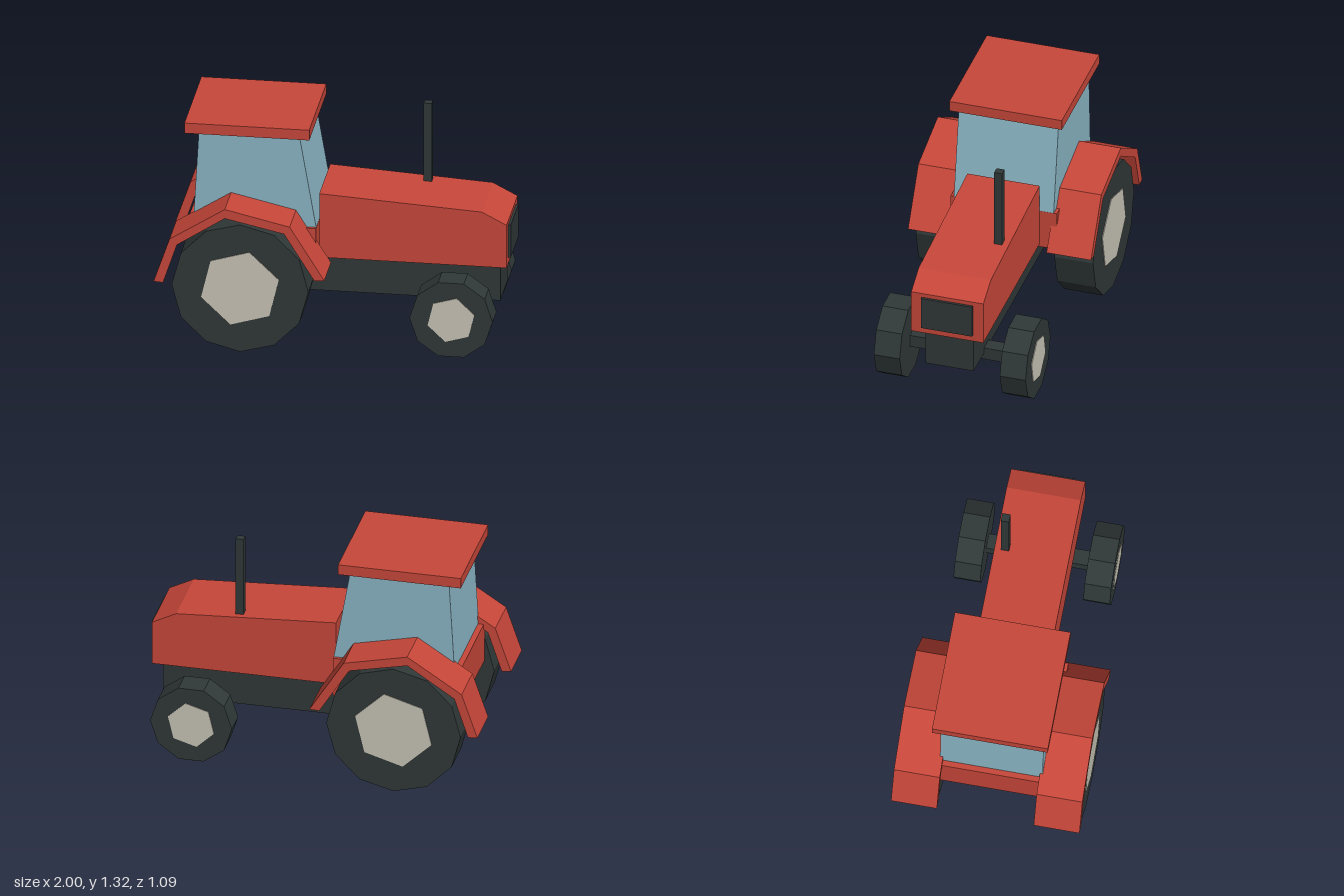
import * as THREE from 'three';

function paint(name, color) {
  const m = new THREE.MeshStandardMaterial({ color });
  m.name = name;
  return m;
}

export function createModel() {
  const red = paint('red paint', 0xc8473a);
  const dark = paint('dark rubber and metal', 0x303838);
  const glass = paint('blue glass', 0x8ab6c5);
  const beige = paint('beige hub', 0xc8c4b6);

  const model = new THREE.Group();
  model.name = 'tractor';

  function add(name, geometry, material) {
    const mesh = new THREE.Mesh(geometry, material);
    mesh.name = name;
    model.add(mesh);
    return mesh;
  }

  // Box given by its limits on each axis
  function box(name, material, [x0, x1], [y0, y1], [z0, z1]) {
    const mesh = add(name, new THREE.BoxGeometry(x1 - x0, y1 - y0, z1 - z0), material);
    mesh.position.set((x0 + x1) / 2, (y0 + y1) / 2, (z0 + z1) / 2);
  }

  // Side outline pulled across from z0 to z1
  function slab(name, material, outline, z0, z1) {
    const shape = new THREE.Shape(outline.map(([x, y]) => new THREE.Vector2(x, y)));
    const geometry = new THREE.ExtrudeGeometry(shape, { depth: z1 - z0, bevelEnabled: false });
    geometry.translate(0, 0, z0);
    add(name, geometry, material);
  }

  // Faceted disc with its axle along z; turn is in degrees
  function disc(name, material, radius, sides, turn, x, y, z0, z1) {
    let geometry = new THREE.CylinderGeometry(radius, radius, z1 - z0, sides);
    geometry.rotateX(Math.PI / 2).rotateZ(THREE.MathUtils.degToRad(turn));
    geometry = geometry.toNonIndexed();
    geometry.computeVertexNormals();
    add(name, geometry, material).position.set(x, y, (z0 + z1) / 2);
  }

  // Chassis and front axle
  box('chassis', dark, [-0.76, 0.935], [0.245, 0.485], [-0.143, 0.143]);
  box('frontAxle', dark, [0.65, 0.74], [0.205, 0.28], [-0.31, 0.31]);

  // Hood, grille and exhaust
  slab('hood', red, [[-0.095, 0.48], [0.982, 0.48], [0.982, 0.745], [0.84, 0.818], [-0.095, 0.874]], -0.215, 0.215);
  box('grille', dark, [0.975, 0.997], [0.52, 0.72], [-0.152, 0.152]);
  box('exhaust', dark, [0.455, 0.502], [0.8, 1.322], [-0.177, -0.13]);

  // Cab
  box('cabBase', red, [-0.84, -0.1], [0.458, 0.7], [-0.316, 0.316]);
  slab('cabGlass', glass, [[-0.807, 0.695], [-0.1, 0.695], [-0.197, 1.258], [-0.775, 1.258]], -0.297, 0.297);
  box('roof', red, [-0.853, -0.135], [1.253, 1.316], [-0.335, 0.335]);

  // Fenders and wheels on both sides
  const fender = [
    [-1, 0.415], [-0.945, 0.411], [-0.865, 0.65], [-0.59, 0.83], [-0.25, 0.755],
    [-0.075, 0.475], [-0.018, 0.48], [-0.217, 0.8], [-0.59, 0.886], [-0.908, 0.683],
  ];
  for (const [side, s] of [['left', 1], ['right', -1]]) {
    const span = (a, b) => (s > 0 ? [a, b] : [-b, -a]);
    slab(side + 'Fender', red, fender, ...span(0.28, 0.545));
    disc(side + 'RearTire', dark, 0.393, 12, 0, -0.505, 0.396, ...span(0.298, 0.528));
    disc(side + 'RearHub', beige, 0.233, 6, -13.5, -0.505, 0.396, ...span(0.525, 0.532));
    disc(side + 'FrontTire', dark, 0.239, 10, 18, 0.697, 0.242, ...span(0.298, 0.452));
    disc(side + 'FrontHub', beige, 0.14, 6, -13.5, 0.697, 0.242, ...span(0.449, 0.456));
  }

  return model;
}
